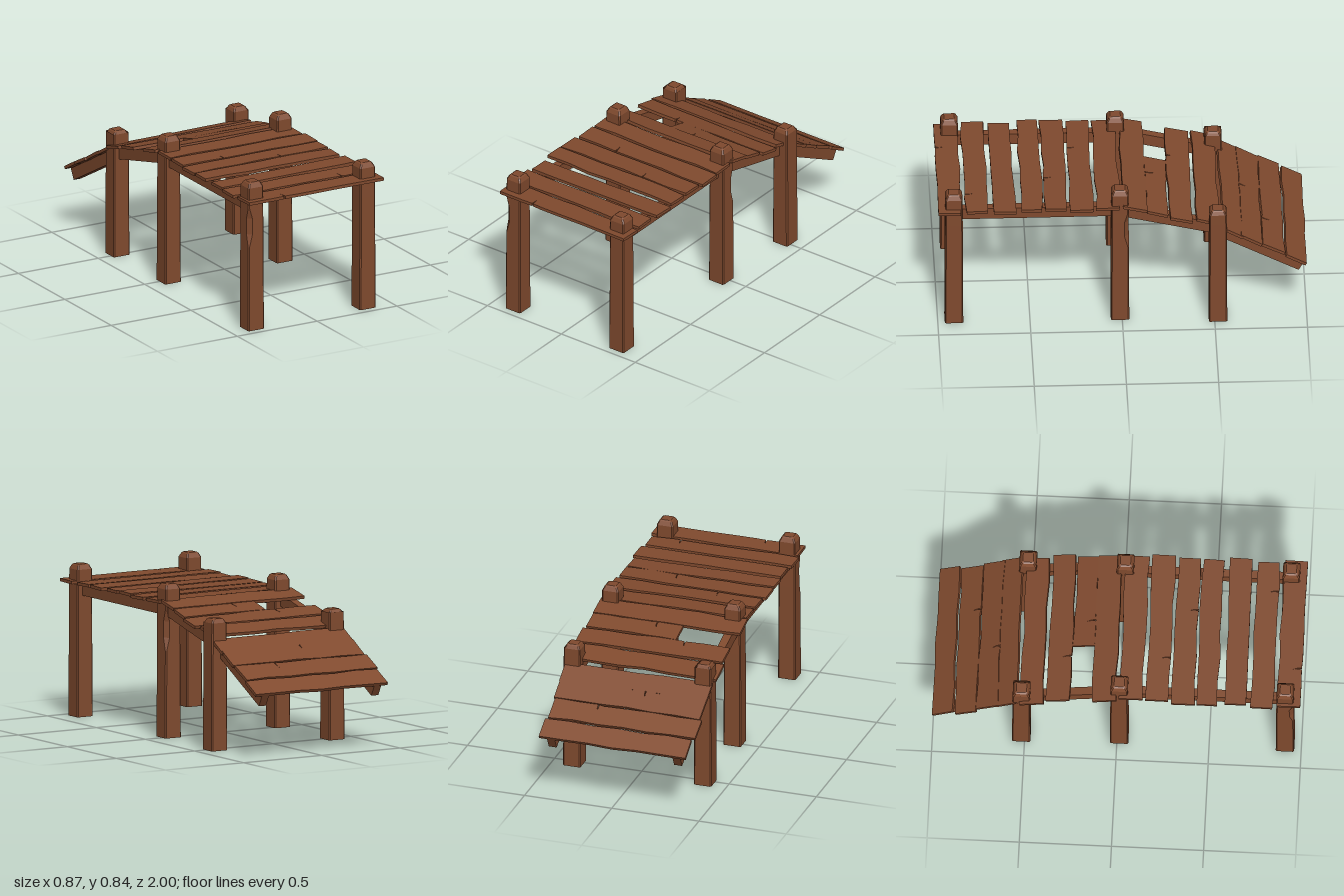
import * as THREE from 'three';

const wood = new THREE.MeshStandardMaterial({ color: 0x804a2e, side: THREE.DoubleSide });
wood.name = 'wood';

// Small seeded generator, returns -1..1
function seeded(seed) {
  let s = seed;
  return () => {
    s = (s * 16807) % 2147483647;
    return (s / 2147483647) * 2 - 1;
  };
}

// Top line of the side beams as [z, y] ends: flat deck, gentle slope, ramp
const spans = [
  { name: 'deckBeam', from: [0.93, 0.732], to: [0.0, 0.732], left: 0.337, right: -0.358 },
  { name: 'slopeBeam', from: [0.0, 0.742], to: [-0.52, 0.613], left: 0.355, right: -0.365 },
  { name: 'rampBeam', from: [-0.5, 0.615], to: [-0.988, 0.352], left: 0.353, right: -0.366 },
];
const slopeOf = (s) => (s.from[1] - s.to[1]) / (s.from[0] - s.to[0]);

// Square post with chamfered corners, open foot, bevelled cap and one chipped corner
function makePost(height, chipCorner) {
  const rings = [
    [0, 0.05, 0], [0.48, 0.048, 0], [0.55, 0.0478, 0.018], [0.64, 0.0474, 0.018],
    [0.7, 0.047, 0], [height - 0.028, 0.0465, 0], [height - 0.006, 0.036, 0], [height, 0.028, 0],
  ];
  const corners = [[1, 1], [1, -1], [-1, -1], [-1, 1]];
  const pos = [];
  const idx = [];
  rings.forEach(([y, w, chip]) => {
    corners.forEach(([sx, sz], k) => {
      const c = 0.006 + (k === chipCorner ? chip : 0);
      const a = [sx * (w - c), y, sz * w];
      const b = [sx * w, y, sz * (w - c)];
      pos.push(...(sx * sz > 0 ? [...a, ...b] : [...b, ...a]));
    });
  });
  for (let r = 0; r < rings.length - 1; r++) {
    for (let i = 0; i < 8; i++) {
      const a = r * 8 + i, b = r * 8 + ((i + 1) % 8);
      idx.push(a, b, b + 8, a, b + 8, a + 8);
    }
  }
  const top = (rings.length - 1) * 8;
  for (let i = 1; i < 7; i++) idx.push(top, top + i, top + i + 1);
  const g = new THREE.BufferGeometry();
  g.setAttribute('position', new THREE.Float32BufferAttribute(pos, 3));
  g.setIndex(idx);
  const flat = g.toNonIndexed();
  flat.computeVertexNormals();
  return flat;
}

// Plank with uneven long edges and an optional split running in from its front edge
function makePlank(x0, x1, width, thick, crackX, rnd) {
  const h = width / 2;
  const steps = 6;
  const at = (i) => x0 + ((x1 - x0) * i) / steps;
  const back = [], front = [];
  for (let i = 0; i <= steps; i++) {
    back.push([at(i) + rnd() * 0.002, h - 0.005 + rnd() * 0.006]);
    front.push([at(i) + rnd() * 0.002, -h + 0.005 + rnd() * 0.006]);
  }
  if (crackX !== null) {
    front.push([crackX - 0.004, -h + 0.004], [crackX - 0.001, -h + 0.028],
      [crackX - 0.006, -h + 0.055], [crackX + 0.002, -h + 0.03], [crackX + 0.004, -h + 0.004]);
    // Keep the split's own points in order, between its neighbours
    const split = front.splice(steps + 1);
    const k = front.findIndex((p) => p[0] > crackX);
    front.splice(k, 0, ...split);
  }
  const outline = [...front, ...back.reverse()].map(([x, y]) => new THREE.Vector2(x, y));
  const g = new THREE.ExtrudeGeometry(new THREE.Shape(outline), { depth: thick, bevelEnabled: false });
  g.rotateX(-Math.PI / 2);
  return g;
}

export function createModel() {
  const model = new THREE.Group();
  model.name = 'woodenJetty';
  const add = (geometry, name, x = 0, y = 0, z = 0) => {
    const m = new THREE.Mesh(geometry, wood);
    m.name = name;
    m.position.set(x, y, z);
    model.add(m);
    return m;
  };

  // Posts: name, x, z, height, chipped corner
  [
    ['frontLeftPost', 0.342, 0.912, 0.835, -1],
    ['frontRightPost', -0.358, 0.912, 0.843, 3],
    ['middleLeftPost', 0.344, 0.012, 0.843, 1],
    ['middleRightPost', -0.356, 0.012, 0.838, -1],
    ['backLeftPost', 0.38, -0.518, 0.722, -1],
    ['backRightPost', -0.37, -0.518, 0.715, -1],
  ].forEach(([name, x, z, h, chip]) => add(makePost(h, chip), name, x, 0, z));

  // Side beams under the planks
  const beamH = 0.066;
  for (const s of spans) {
    const dz = s.from[0] - s.to[0], dy = s.from[1] - s.to[1];
    const geo = new THREE.BoxGeometry(0.045, beamH, Math.hypot(dz, dy));
    geo.translate(0, -beamH / 2, 0);
    for (const x of [s.left, s.right]) {
      const b = add(geo, s.name, x, (s.from[1] + s.to[1]) / 2, (s.from[0] + s.to[0]) / 2);
      b.rotation.x = -Math.atan2(dy, dz);
    }
  }

  // Planks: z start, z end, x start, x end, split position
  const rnd = seeded(4711);
  [
    [-0.997, -0.878, -0.42, 0.42, null],
    [-0.875, -0.752, -0.435, 0.405, 0.155],
    [-0.757, -0.635, -0.42, 0.415, -0.075],
    [-0.65, -0.535, -0.42, 0.42, null],
    [-0.525, -0.393, -0.435, 0.405, null],
    [-0.382, -0.25, -0.42, 0.42, -0.165],
    [-0.25, -0.125, -0.11, 0.405, 0.035],
    [-0.137, 0.0, -0.435, 0.405, null],
    [0.007, 0.142, -0.42, 0.405, null],
    [0.153, 0.286, -0.42, 0.42, -0.17],
    [0.292, 0.424, -0.435, 0.405, 0.11],
    [0.425, 0.55, -0.435, 0.405, null],
    [0.575, 0.705, -0.42, 0.42, null],
    [0.72, 0.853, -0.435, 0.405, 0.24],
    [0.865, 0.998, -0.42, 0.42, -0.2],
  ].forEach(([z0, z1, x0, x1, crack]) => {
    const z = (z0 + z1) / 2;
    const s = z > 0 ? spans[0] : z > -0.5 ? spans[1] : spans[2];
    const slope = slopeOf(s);
    const y = s.to[1] + slope * (z - s.to[0]);
    const width = (z1 - z0) * Math.hypot(1, slope);
    const p = add(makePlank(x0, x1, width, 0.017, crack, rnd), 'plank', 0, y + 0.001 + rnd() * 0.003, z);
    p.rotation.x = -Math.atan(slope) + rnd() * 0.03;
    p.rotation.z = rnd() * 0.006;
  });

  return model;
}
